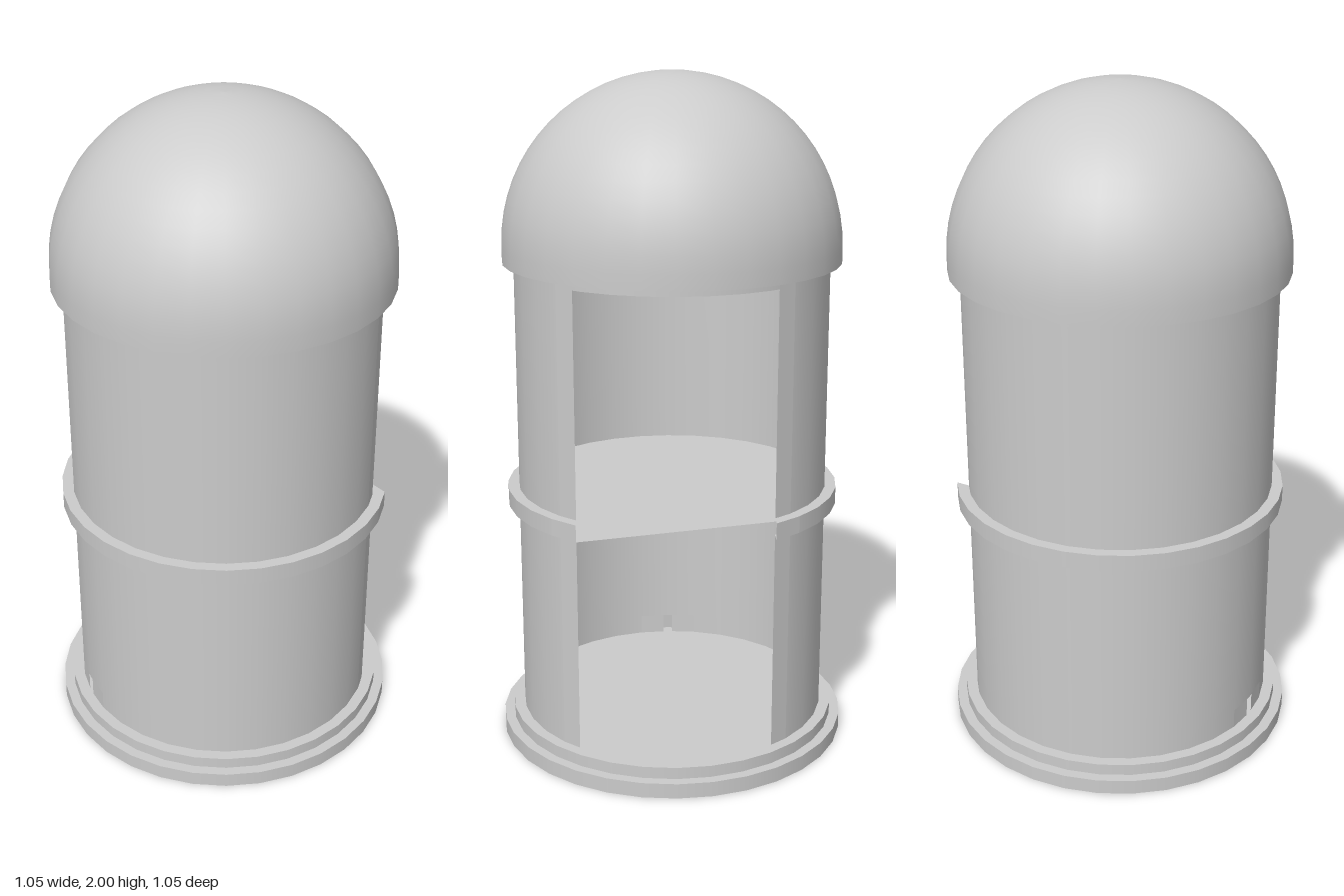
import * as THREE from 'three';

const SIDES = 32;
const STEP = (Math.PI * 2) / SIDES;
const HALF_OPENING = 0.28; // half width of the doorway on the +x side

const solid = new THREE.MeshStandardMaterial({ color: 0xcccccc });
const thin = new THREE.MeshStandardMaterial({ color: 0xcccccc, side: THREE.DoubleSide });

// Point on a circle, step 0 at +z, step 8 at +x
const at = (r, k) => [r * Math.sin(k * STEP), r * Math.cos(k * STEP)];

function add(parent, name, geometry, material = solid, y = 0) {
  const mesh = new THREE.Mesh(geometry, material);
  mesh.name = name;
  mesh.position.y = y;
  parent.add(mesh);
  return mesh;
}

function disc(parent, name, r, y0, y1) {
  return add(parent, name, new THREE.CylinderGeometry(r, r, y1 - y0, SIDES), solid, (y0 + y1) / 2);
}

// Smooth open shell from step k0 to step k1
function arc(parent, name, r, k0, k1, y0, y1) {
  const geometry = new THREE.CylinderGeometry(r, r, y1 - y0, k1 - k0, 1, true, k0 * STEP, (k1 - k0) * STEP);
  return add(parent, name, geometry, thin, (y0 + y1) / 2);
}

// Flat upright panel from p to q, both [x, z]
function panel(parent, name, p, q, y0, y1) {
  const geometry = new THREE.BufferGeometry();
  const corners = [p[0], y0, p[1], q[0], y0, q[1], q[0], y1, q[1], p[0], y1, p[1]];
  geometry.setAttribute('position', new THREE.Float32BufferAttribute(corners, 3));
  geometry.setIndex([0, 1, 2, 0, 2, 3]);
  geometry.computeVertexNormals();
  return add(parent, name, geometry, thin);
}

// Where the facet between steps 4 and 5 meets the doorway
function doorEdge(r) {
  const a = at(r, 4), b = at(r, 5);
  const t = (a[1] - HALF_OPENING) / (a[1] - b[1]);
  return [a[0] + (b[0] - a[0]) * t, HALF_OPENING];
}

// Facets beside the doorway, on both sides
function doorFacets(parent, name, r, y0, y1) {
  const a = at(r, 4), e = doorEdge(r);
  panel(parent, name, a, e, y0, y1);
  panel(parent, name, [e[0], -e[1]], [a[0], -a[1]], y0, y1);
}

export function createModel() {
  const model = new THREE.Group();

  // Stepped base
  disc(model, 'basePlate', 0.525, 0, 0.045);
  disc(model, 'baseStep', 0.495, 0.045, 0.08);

  // Wall, open towards +x, with a small slot at the foot of the back
  const wall = new THREE.Group();
  wall.name = 'wall';
  model.add(wall);
  const R = 0.462;
  arc(wall, 'wallFootFront', R, 25, 36, 0.08, 0.14);
  arc(wall, 'wallFootRear', R, 12, 23, 0.08, 0.14);
  const slotX = -R + 0.0015;
  panel(wall, 'slotSide', [slotX, 0.015], at(R, 25), 0.08, 0.14);
  panel(wall, 'slotSide', at(R, 23), [slotX, -0.015], 0.08, 0.14);
  arc(wall, 'lowerWall', R, 12, 36, 0.14, 0.735);
  arc(wall, 'upperWall', R, 12, 36, 0.785, 1.46);
  doorFacets(wall, 'lowerDoorEdge', R, 0.08, 0.735);
  doorFacets(wall, 'upperDoorEdge', R, 0.785, 1.46);

  // Middle band with its shelf, cut back obliquely at the doorway
  const band = new THREE.Group();
  band.name = 'middleBand';
  model.add(band);
  const B = 0.495;
  arc(band, 'bandRim', B, 12, 36, 0.735, 0.785);
  doorFacets(band, 'bandEnd', B, 0.735, 0.785);
  const end = doorEdge(B);
  const outline = [[end[0], end[1]]];
  for (let k = 36; k >= 12; k--) outline.push(at(B, k));
  outline.push([end[0], -end[1]], [0.363, -0.28], at(R, 12), [0.225, -0.4]);
  const shape = new THREE.Shape(outline.map(([x, z]) => new THREE.Vector2(x, z)));
  for (const y of [0.735, 0.785]) {
    add(band, 'shelf', new THREE.ShapeGeometry(shape).rotateX(Math.PI / 2), thin, y);
  }

  // Ceiling above the doorway
  disc(model, 'ceiling', R, 1.44, 1.465);

  // Dome on a short straight rim
  const profile = [new THREE.Vector2(B, 1.46)];
  for (let i = 0; i <= 16; i++) {
    const a = (i / 16) * (Math.PI / 2);
    profile.push(new THREE.Vector2(i === 16 ? 0 : B * Math.cos(a), 1.505 + B * Math.sin(a)));
  }
  add(model, 'dome', new THREE.LatheGeometry(profile, SIDES), thin);
  add(model, 'domeUnderside', new THREE.CircleGeometry(B, SIDES).rotateX(Math.PI / 2), solid, 1.46);

  return model;
}
